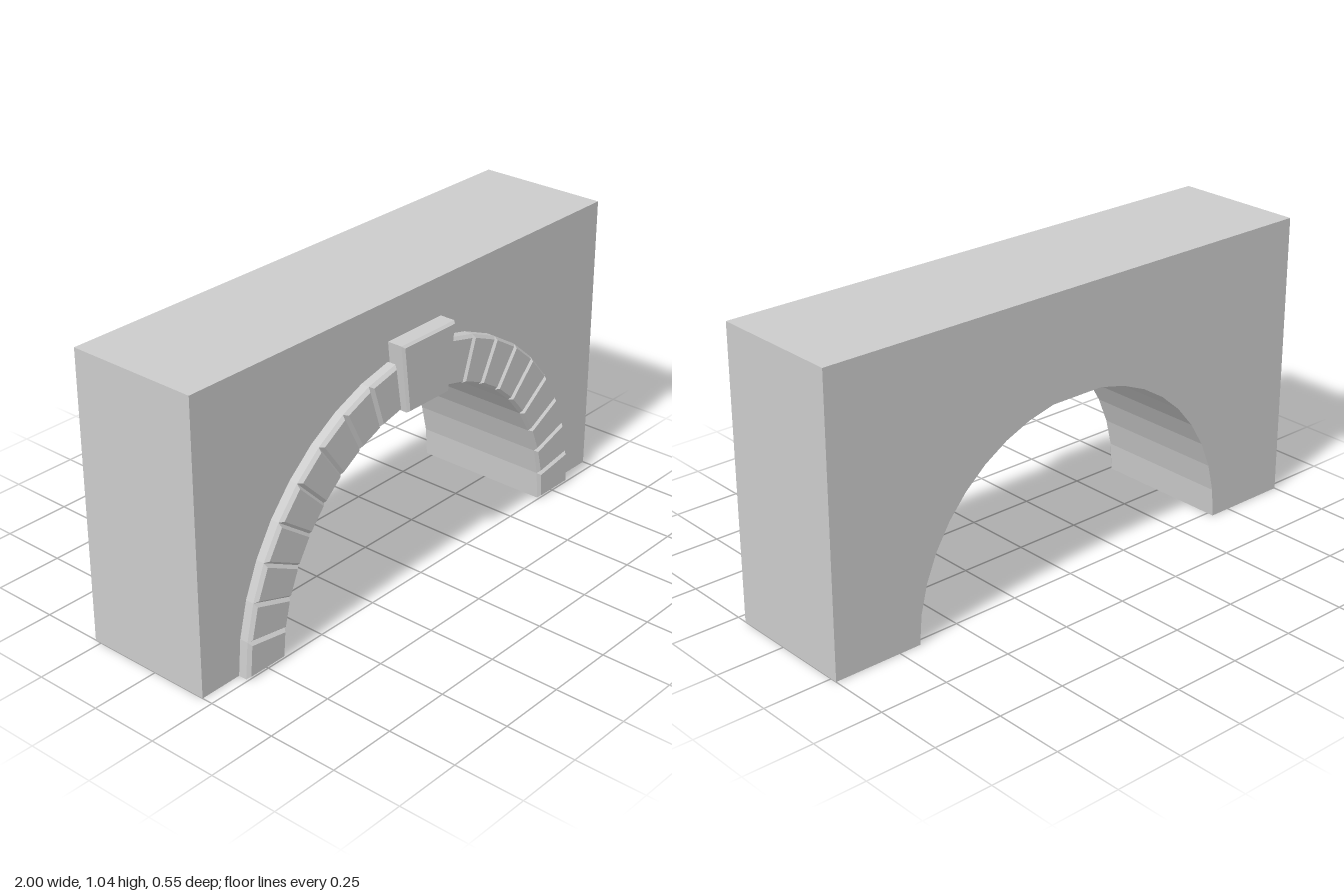
import * as THREE from 'three';

const material = new THREE.MeshStandardMaterial({ color: 0xcccccc, flatShading: true });
const STEP = Math.PI / 20;              // each stone spans 9 degrees
const R_IN = 0.67, R_OUT = 0.84;
const WALL_FRONT = 0.21, WALL_BACK = -0.275;

const polar = (r, a) => new THREE.Vector2(r * Math.cos(a), r * Math.sin(a));

// Four-cornered stone (corners counter-clockwise) with a chamfered front face
function stone(name, corners, front, chamfer, inset) {
  const inner = corners.map((c, i) => {
    const toNext = corners[(i + 1) % 4].clone().sub(c).normalize();
    const toPrev = corners[(i + 3) % 4].clone().sub(c).normalize();
    return c.clone().addScaledVector(toNext, inset).addScaledVector(toPrev, inset);
  });
  const loops = [
    [corners, WALL_FRONT], [corners, front - chamfer], [inner, front],
  ].map(([pts, z]) => pts.map(p => [p.x, p.y, z]));

  const positions = [];
  const quad = (a, b, c, d) => positions.push(...a, ...b, ...c, ...a, ...c, ...d);
  for (let k = 0; k < 2; k++) {
    for (let i = 0; i < 4; i++) {
      const j = (i + 1) % 4;
      quad(loops[k][i], loops[k][j], loops[k + 1][j], loops[k + 1][i]);
    }
  }
  quad(...loops[2]);                    // front face
  quad(...[...loops[0]].reverse());     // back face against the wall

  const geometry = new THREE.BufferGeometry();
  geometry.setAttribute('position', new THREE.Float32BufferAttribute(positions, 3));
  geometry.computeVertexNormals();
  const mesh = new THREE.Mesh(geometry, material);
  mesh.name = name;
  return mesh;
}

export function createModel() {
  const model = new THREE.Group();
  model.name = 'stoneArch';

  // Wall block with a faceted round opening, flat under the keystone
  const outline = [new THREE.Vector2(1, 0), new THREE.Vector2(1, 1.04),
    new THREE.Vector2(-1, 1.04), new THREE.Vector2(-1, 0)];
  for (let i = 20; i >= 0; i--) {
    if (i !== 10) outline.push(polar(R_IN, i * STEP));
  }
  const wallGeometry = new THREE.ExtrudeGeometry(new THREE.Shape(outline),
    { depth: WALL_FRONT - WALL_BACK, bevelEnabled: false });
  wallGeometry.translate(0, 0, WALL_BACK);
  const wall = new THREE.Mesh(wallGeometry, material);
  wall.name = 'wall';
  model.add(wall);

  // Nine arch stones on each side of the keystone
  const ring = new THREE.Group();
  ring.name = 'archStones';
  for (let i = 0; i < 20; i++) {
    if (i === 9 || i === 10) continue;
    const a = i * STEP, b = a + STEP;
    ring.add(stone('archStone', [polar(R_IN, a), polar(R_OUT, a), polar(R_OUT, b), polar(R_IN, b)],
      0.253, 0.012, 0.01));
  }
  model.add(ring);

  // Tall tapered keystone
  const keyCorners = [[-0.102, 0.655], [0.102, 0.655], [0.132, 0.9], [-0.132, 0.9]]
    .map(([x, y]) => new THREE.Vector2(x, y));
  model.add(stone('keystone', keyCorners, 0.275, 0.01, 0.007));

  return model;
}
